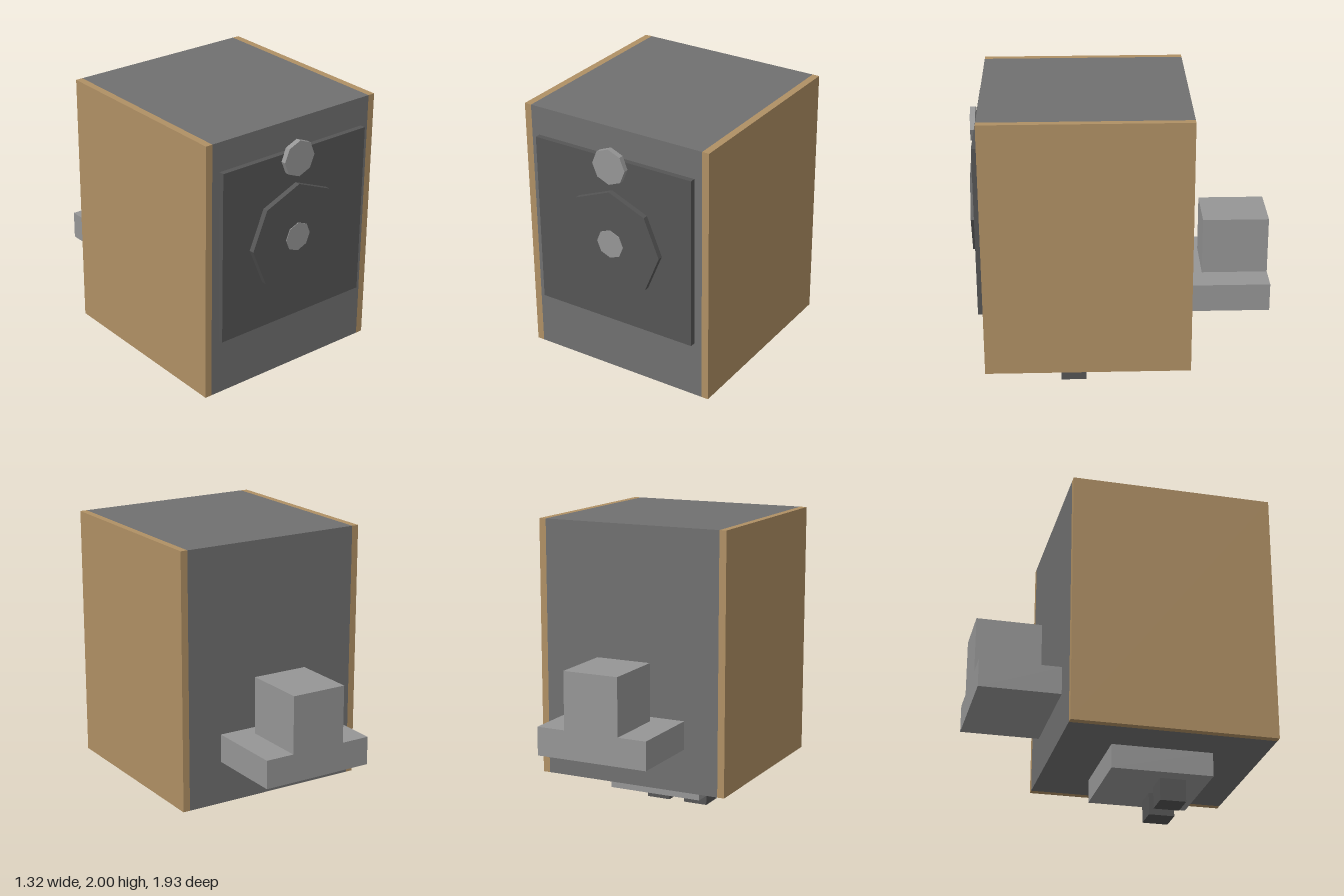
import * as THREE from 'three';

const paint = (color) => new THREE.MeshStandardMaterial({ color, flatShading: true });

export function createModel() {
  const model = new THREE.Group();
  const wood = paint(0xb09064);
  const casing = paint(0x707070);
  const dark = paint(0x555555);
  const light = paint(0x969696);

  // Box given by its extents on each axis
  const box = (name, [x0, x1], [y0, y1], [z0, z1], material) => {
    const mesh = new THREE.Mesh(new THREE.BoxGeometry(x1 - x0, y1 - y0, z1 - z0), material);
    mesh.position.set((x0 + x1) / 2, (y0 + y1) / 2, (z0 + z1) / 2);
    mesh.name = name;
    model.add(mesh);
  };

  // Octagonal disc facing the front, one corner pointing up
  const disc = (name, radius, y, z0, z1, material) => {
    const geometry = new THREE.CylinderGeometry(radius, radius, z1 - z0, 8).rotateX(Math.PI / 2);
    const mesh = new THREE.Mesh(geometry, material);
    mesh.position.set(0, y, (z0 + z1) / 2);
    mesh.name = name;
    model.add(mesh);
  };

  // Cabinet with wooden sides
  box('cabinet', [-0.613, 0.613], [0.303, 2], [-0.435, 0.888], casing);
  box('leftSidePanel', [0.613, 0.66], [0.303, 2], [-0.435, 0.888], wood);
  box('rightSidePanel', [-0.66, -0.613], [0.303, 2], [-0.435, 0.888], wood);

  // Front plate with its round fittings
  box('frontPlate', [-0.56, 0.56], [0.682, 1.812], [0.888, 0.924], dark);
  disc('speakerCone', 0.353, 1.247, 0.924, 0.959, dark);
  disc('speakerCap', 0.095, 1.247, 0.93, 0.963, light);
  disc('topKnob', 0.117, 1.767, 0.922, 0.956, light);

  // Rear bracket
  box('bracketBase', [-0.38, 0.38], [0.587, 0.773], [-0.963, -0.435], light);
  box('bracketBlock', [-0.187, 0.187], [0.773, 1.15], [-0.963, -0.533], light);

  // Mount underneath with two feet
  box('mountPlate', [-0.33, 0.33], [0.146, 0.303], [-0.103, 0.557], light);
  box('leftFoot', [0.056, 0.225], [0, 0.146], [0.236, 0.405], dark);
  box('rightFoot', [-0.225, -0.056], [0, 0.146], [0.236, 0.405], dark);

  return model;
}
